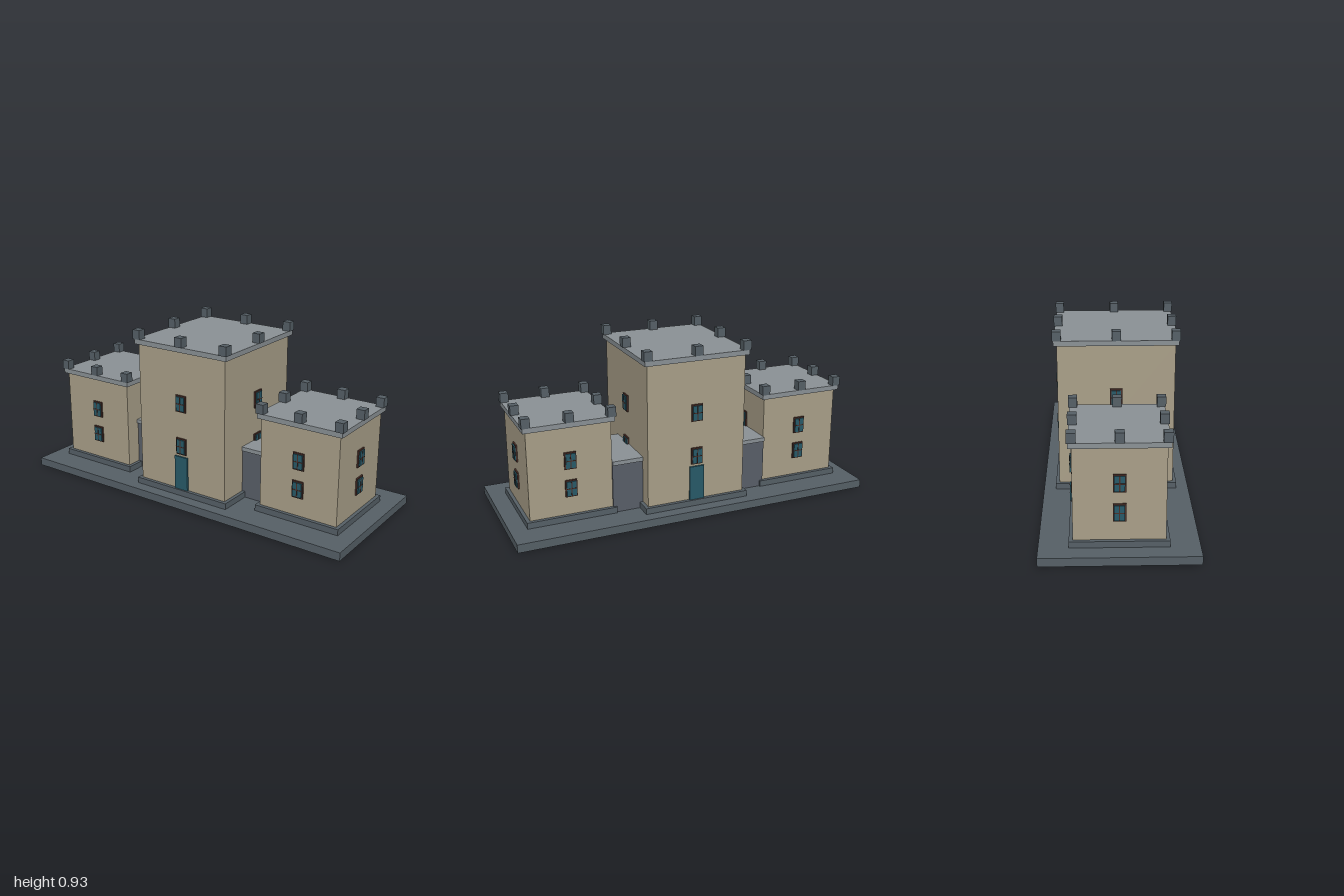
import * as THREE from 'three';

const mat = (name, color) => {
  const m = new THREE.MeshStandardMaterial({ color });
  m.name = name;
  return m;
};

export function createModel() {
  const wall = mat('sandstone', 0xaaa089);
  const slate = mat('dark slate', 0x566067);
  const link = mat('blue slate', 0x595f69);
  const roof = mat('pale grey roof', 0x8b9296);
  const teal = mat('teal', 0x285a69);
  const frame = mat('brown frame', 0x4c3029);

  // Box spanning y0..y1, centred on x and z
  const block = (parent, name, material, w, y0, y1, d, x = 0, z = 0) => {
    const mesh = new THREE.Mesh(new THREE.BoxGeometry(w, y1 - y0, d), material);
    mesh.position.set(x, (y0 + y1) / 2, z);
    mesh.name = name;
    parent.add(mesh);
    return mesh;
  };

  // Window facing +z, its back on z = 0
  const makeWindow = () => {
    const g = new THREE.Group();
    g.name = 'window';
    block(g, 'windowFrame', frame, 0.063, -0.046, 0.046, 0.008, 0, 0.004);
    block(g, 'windowGlass', teal, 0.051, -0.039, 0.039, 0.014, 0, 0.007);
    block(g, 'verticalBar', frame, 0.005, -0.039, 0.039, 0.002, 0, 0.0145);
    block(g, 'crossBar', frame, 0.051, -0.0025, 0.0025, 0.002, 0, 0.0145);
    return g;
  };

  // Square tower: plinth, walls, flat roof, eight merlons and windows on all sides
  const makeTower = (name, hx, hz, top, windowHeights) => {
    const g = new THREE.Group();
    g.name = name;
    block(g, 'plinth', slate, 2 * hx + 0.038, 0.045, 0.078, 2 * hz + 0.038);
    block(g, 'walls', wall, 2 * hx, 0.078, top, 2 * hz);
    block(g, 'roofSlab', roof, 2 * hx + 0.034, top, top + 0.027, 2 * hz + 0.034);
    for (const i of [-1, 0, 1]) for (const j of [-1, 0, 1]) {
      if (i || j) block(g, 'merlon', slate, 0.045, top + 0.027, top + 0.078, 0.045, i * hx, j * hz);
    }
    for (let side = 0; side < 4; side++) {
      const face = new THREE.Group();
      face.name = 'windowsOnSide';
      face.rotation.y = side * Math.PI / 2;
      for (const y of windowHeights) {
        const w = makeWindow();
        w.position.set(0, y, side % 2 ? hx : hz);
        face.add(w);
      }
      g.add(face);
    }
    return g;
  };

  const model = new THREE.Group();
  model.name = 'fortifiedHouse';
  block(model, 'basePlatform', slate, 2, 0, 0.045, 0.774);

  // Main tower with a door at front and back
  const main = makeTower('mainTower', 0.277, 0.304, 0.848, [0.326, 0.566]);
  for (const s of [-1, 1]) block(main, 'door', teal, 0.082, 0.078, 0.267, 0.01, 0, s * 0.309);
  model.add(main);

  // Side towers and the low links joining them to the main tower
  for (const s of [-1, 1]) {
    const tower = makeTower(s > 0 ? 'leftTower' : 'rightTower', 0.223, 0.222, 0.557, [0.224, 0.376]);
    tower.position.x = s * 0.668;
    model.add(tower);
    block(model, 'linkWalls', link, 0.168, 0.045, 0.313, 0.366, s * 0.361, -0.047);
    block(model, 'linkRoof', roof, 0.168, 0.313, 0.335, 0.382, s * 0.361, -0.047);
  }
  return model;
}
